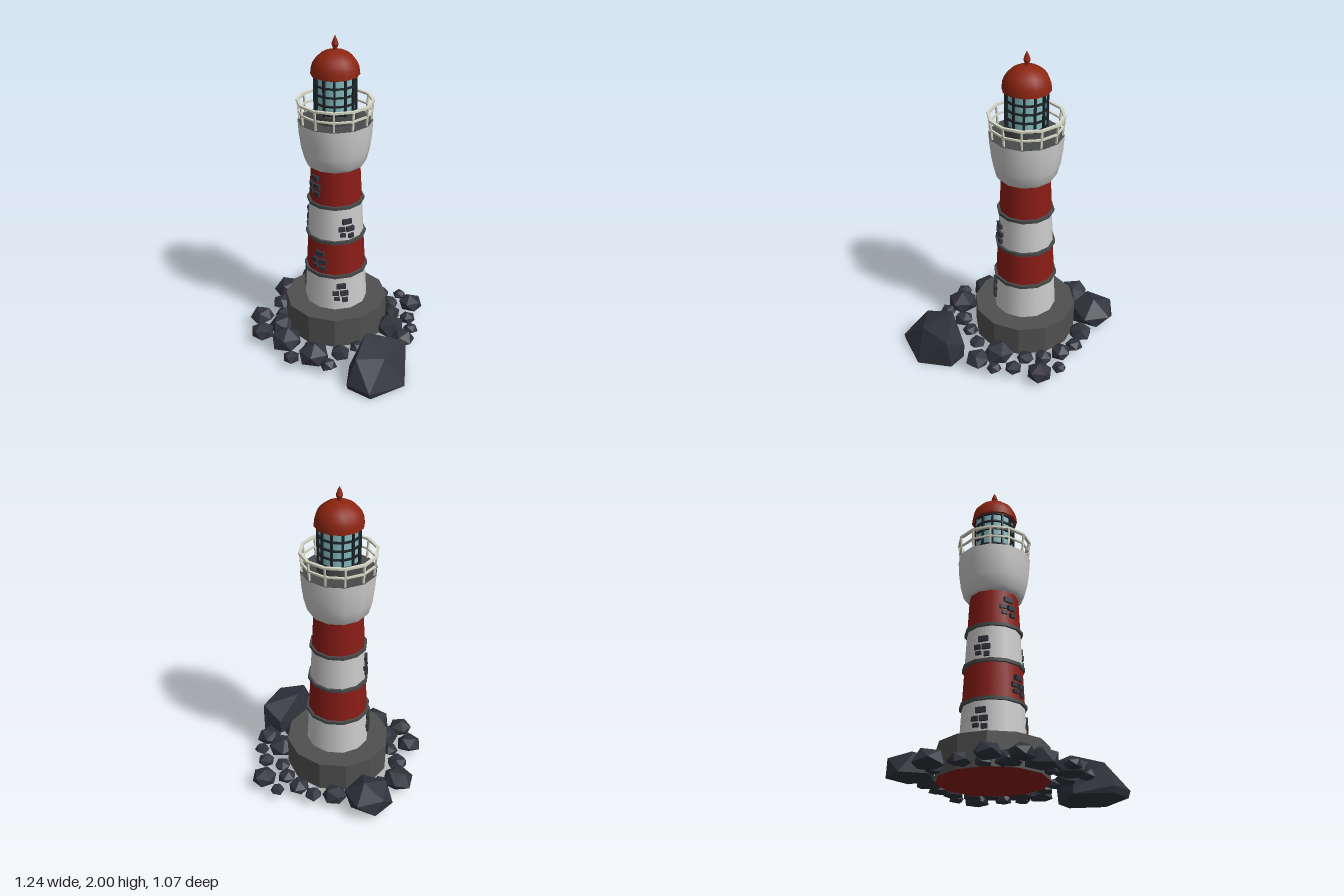
import * as THREE from 'three';
import { toCreasedNormals } from 'three/addons/utils/BufferGeometryUtils.js';
import { ConvexGeometry } from 'three/addons/geometries/ConvexGeometry.js';

const SIDES = 12;
const mat = (color, opts = {}) => new THREE.MeshStandardMaterial({ color, ...opts });
const red = mat(0x8a1c16), domeRed = mat(0x8c2410), white = mat(0xdcdcdc);
const stone = mat(0x505050, { flatShading: true }), ring = mat(0x484a4a), brickMat = mat(0x34363e);
const glass = mat(0x86bcc0), bar = mat(0x1c2428), railMat = mat(0xd6d6c4);
const rockMat = mat(0x30333c, { flatShading: true });

function add(parent, name, geometry, material, x = 0, y = 0, z = 0) {
  const m = new THREE.Mesh(geometry, material);
  m.name = name;
  m.position.set(x, y, z);
  parent.add(m);
  return m;
}

// Tapered 12-sided drum between two heights
const drum = (parent, name, r0, r1, y0, y1, material) =>
  add(parent, name, new THREE.CylinderGeometry(r1, r0, y1 - y0, SIDES), material, 0, (y0 + y1) / 2, 0);

// Turned shape with sharp edges kept
const turned = (parent, name, points, material) =>
  add(parent, name, toCreasedNormals(
    new THREE.LatheGeometry(points.map(p => new THREE.Vector2(...p)), SIDES), 0.62), material);

// Straight-sided hoop with a rectangular section
function hoop(parent, name, r, y, width, height, material) {
  const a = r - width / 2, b = r + width / 2, h = height / 2;
  return turned(parent, name, [[a, y - h], [b, y - h], [b, y + h], [a, y + h], [a, y - h]], material);
}

const towerRadius = y => 0.2 - (y - 0.25) * 0.05;

// Exposed bricks, laid around the tower at an angle measured from the front
function brickPatch(parent, angle, y) {
  const bricks = [[0.01, 0.05, 0.06, 0.032], [-0.025, 0, 0.04, 0.028], [0.03, -0.002, 0.05, 0.032],
    [-0.018, -0.04, 0.035, 0.022], [0.035, -0.05, 0.035, 0.028]];
  for (const [u, dy, w, h] of bricks) {
    const r = towerRadius(y + dy), a = angle + u / r;
    const b = add(parent, 'exposedBrick', new THREE.BoxGeometry(w, h, 0.022), brickMat,
      Math.sin(a) * r, y + dy, Math.cos(a) * r);
    b.rotation.y = a;
  }
}

function rock(parent, x, z, r, seed) {
  const g = new THREE.IcosahedronGeometry(r, 0);
  g.rotateX(seed * 1.7);
  g.rotateY(seed * 2.3);
  g.scale(1, 0.85, 1);
  // Flatten the underside where it meets the ground
  const p = g.attributes.position;
  for (let i = 0; i < p.count; i++) p.setY(i, Math.max(p.getY(i), -r * 0.2));
  g.computeVertexNormals();
  add(parent, 'rock', g, rockMat, x, 0.05 + r * 0.2, z);
}

export function createModel() {
  const model = new THREE.Group();
  model.name = 'lighthouse';
  const tower = new THREE.Group();
  tower.name = 'tower';
  tower.position.set(-0.08, 0, -0.05);
  model.add(tower);

  // Plinth
  drum(tower, 'plinth', 0.33, 0.33, 0.051, 0.25, stone);
  add(tower, 'plinthUnderside', new THREE.CircleGeometry(0.33, SIDES), red, 0, 0.05, 0).rotation.x = Math.PI / 2;

  // Striped shaft with a band at each joint
  const levels = [0.25, 0.49, 0.73, 0.965, 1.21];
  for (let i = 0; i < 4; i++) {
    const y0 = levels[i], y1 = levels[i + 1];
    drum(tower, 'shaftStripe', towerRadius(y0), towerRadius(y1), y0, y1, i % 2 ? red : white);
    if (i > 0) {
      const r = towerRadius(y0) + 0.015;
      drum(tower, 'shaftBand', r, r, y0 - 0.01, y0 + 0.01, ring);
    }
  }
  brickPatch(tower, -0.42, 1.09);
  brickPatch(tower, 0.92, 0.82);
  brickPatch(tower, -1.37, 0.82);
  brickPatch(tower, -0.08, 0.59);
  brickPatch(tower, 0.68, 0.37);
  brickPatch(tower, -1.37, 0.37);

  // Gallery and its deck
  turned(tower, 'gallery', [[0.14, 1.2], [0.175, 1.205], [0.19, 1.225], [0.21, 1.3], [0.222, 1.39], [0.228, 1.483]], white);
  drum(tower, 'galleryDeck', 0.227, 0.227, 1.47, 1.484, ring);

  // Railing
  const railing = new THREE.Group();
  railing.name = 'railing';
  tower.add(railing);
  hoop(railing, 'topRail', 0.226, 1.604, 0.018, 0.013, railMat);
  hoop(railing, 'middleRail', 0.221, 1.543, 0.012, 0.011, railMat);
  for (let i = 0; i < SIDES; i++) {
    const a = i * Math.PI * 2 / SIDES;
    const pivot = new THREE.Group();
    pivot.name = 'railPost';
    pivot.rotation.y = a;
    railing.add(pivot);
    add(pivot, 'post', new THREE.BoxGeometry(0.011, 0.125, 0.011), railMat, 0, 1.542, 0.221).rotation.x = 0.08;
  }

  // Lantern room with a grid of bars
  drum(tower, 'lanternBase', 0.132, 0.132, 1.48, 1.54, ring);
  drum(tower, 'lanternGlass', 0.118, 0.118, 1.54, 1.78, glass);
  for (let i = 0; i < 5; i++) hoop(tower, 'lanternHoop', 0.124, 1.55 + i * 0.054, 0.014, 0.01, bar);
  for (let i = 0; i < SIDES; i++) {
    const a = i * Math.PI * 2 / SIDES;
    add(tower, 'lanternBar', new THREE.BoxGeometry(0.013, 0.24, 0.013), bar,
      Math.sin(a) * 0.124, 1.66, Math.cos(a) * 0.124).rotation.y = a;
  }

  // Dome and finial
  const dome = [[0, 1.768], [0.147, 1.768]];
  for (let i = 0; i <= 7; i++) {
    const t = i / 7 * Math.PI / 2;
    dome.push([0.145 * Math.cos(t), 1.785 + 0.13 * Math.sin(t)]);
  }
  turned(tower, 'dome', dome, domeRed);
  turned(tower, 'finial', [[0.014, 1.905], [0.011, 1.92], [0.021, 1.947], [0.012, 1.975], [0, 2]], domeRed);

  // Scattered rocks: x, z, radius
  const rocks = [
    [-0.2, -0.42, 0.08], [-0.07, -0.46, 0.057], [0.04, -0.43, 0.07], [0.16, -0.5, 0.047],
    [0.28, -0.435, 0.083], [0.15, -0.37, 0.062], [0.22, -0.28, 0.056], [0.34, -0.275, 0.056],
    [0.415, -0.18, 0.05], [0.29, -0.12, 0.1], [0.42, -0.05, 0.083], [0.29, 0.06, 0.056],
    [0.22, 0.175, 0.054], [0.16, 0.285, 0.066], [0.16, 0.425, 0.056], [0.035, 0.4, 0.105],
    [-0.045, 0.32, 0.044], [-0.08, 0.48, 0.054], [-0.2, 0.36, 0.107], [-0.32, 0.235, 0.088],
    [-0.39, 0.36, 0.08], [-0.495, 0.22, 0.083], [-0.395, 0.117, 0.054], [-0.475, 0.015, 0.07],
    [-0.43, -0.198, 0.046], [-0.53, -0.145, 0.103], [-0.41, -0.375, 0.16],
  ];
  const rockGroup = new THREE.Group();
  rockGroup.name = 'rocks';
  model.add(rockGroup);
  rocks.forEach(([x, z, r], i) => rock(rockGroup, x, z, r, i + 1));

  // Large boulder
  const boulder = [
    [0.395, 0, 0.09], [0.52, 0, 0.09], [0.62, 0, 0.285], [0.505, 0, 0.5], [0.34, 0, 0.49], [0.23, 0, 0.29],
    [0.395, 0.1, 0.08], [0.505, 0.04, 0.515], [0.34, 0.04, 0.505],
    [0.32, 0.255, 0.24], [0.53, 0.19, 0.11], [0.505, 0.19, 0.335], [0.36, 0.19, 0.43],
  ].map(p => new THREE.Vector3(...p));
  add(rockGroup, 'boulder', new ConvexGeometry(boulder), rockMat);

  return model;
}
